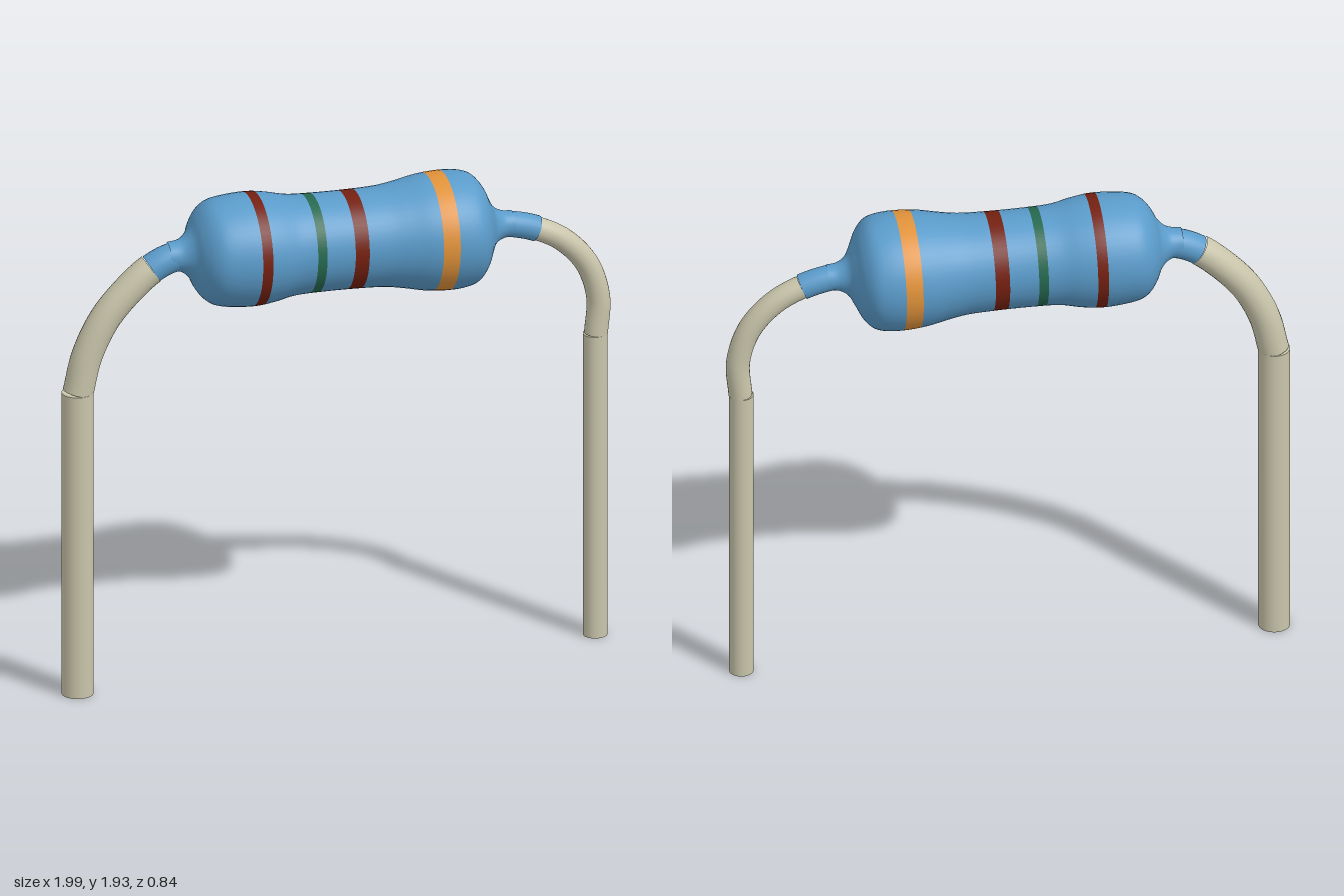
import * as THREE from 'three';

const paint = (name, color) => {
  const m = new THREE.MeshStandardMaterial({ color });
  m.name = name;
  return m;
};
const blue = paint('blue coating', 0x5a9bca);
const metal = paint('lead metal', 0xc9c5ab);
const red = paint('dark red band', 0x742010);
const green = paint('green band', 0x26684f);
const orange = paint('orange band', 0xe0923a);

const SLOPE = 0.387; // z falls by this much per unit of x
const YAW = Math.atan(SLOPE);

function add(parent, name, geometry, material) {
  const mesh = new THREE.Mesh(geometry, material);
  mesh.name = name;
  parent.add(mesh);
  return mesh;
}

// Body outline as [distance along axis, radius]
const outline = new THREE.SplineCurve([
  [-0.66, 0.054], [-0.61, 0.062], [-0.575, 0.092], [-0.55, 0.14], [-0.52, 0.178],
  [-0.48, 0.201], [-0.41, 0.212], [-0.33, 0.215], [-0.26, 0.206], [-0.18, 0.19],
  [-0.08, 0.186], [0.04, 0.186], [0.16, 0.19], [0.24, 0.202], [0.32, 0.218],
  [0.4, 0.225], [0.47, 0.222], [0.52, 0.207], [0.555, 0.17], [0.58, 0.12],
  [0.605, 0.075], [0.64, 0.053], [0.68, 0.049],
].map(([s, r]) => new THREE.Vector2(r, s))).getPoints(160);

function radiusAt(s) {
  const i = Math.max(1, outline.findIndex((p) => p.y >= s));
  const a = outline[i - 1], b = outline[i];
  return a.x + (b.x - a.x) * (s - a.y) / (b.y - a.y);
}

// Ring of the body between two distances along the axis
function bodySection(from, to) {
  const inner = outline.filter((p) => p.y > from + 1e-4 && p.y < to - 1e-4);
  const ends = [from, to].map((s) => new THREE.Vector2(radiusAt(s), s));
  return new THREE.LatheGeometry([ends[0], ...inner, ends[1]], 48);
}

function buildBody() {
  const body = new THREE.Group();
  body.name = 'body';
  const cuts = [
    [-0.35, 'firstBand', red], [-0.31, 'coatingLeft', blue],
    [-0.128, 'secondBand', green], [-0.092, 'coatingMiddle', blue],
    [0.018, 'thirdBand', red], [0.072, 'coatingRight', blue],
    [0.35, 'toleranceBand', orange], [0.414, 'capRight', blue],
  ];
  add(body, 'capLeft', bodySection(-0.66, cuts[0][0]), blue);
  cuts.forEach(([from, name, material], i) => {
    const to = i + 1 < cuts.length ? cuts[i + 1][0] : 0.68;
    add(body, name, bodySection(from, to), material);
  });
  body.position.y = 1.708;
  body.rotation.set(0, YAW, -Math.PI / 2 - 0.018, 'YXZ');
  return body;
}

// One wire: coated neck, bend and straight leg
function buildLead(name, path, radius, neckRadius, legX, coatEnd) {
  const lead = new THREE.Group();
  lead.name = name;
  const at = (x, y) => new THREE.Vector3(x, y, -SLOPE * x);
  const points = new THREE.CatmullRomCurve3(path.map(([x, y]) => at(x, y))).getSpacedPoints(40);
  const split = points.findIndex((p) => Math.abs(p.x) > coatEnd);
  const tube = (list, r) =>
    new THREE.TubeGeometry(new THREE.CatmullRomCurve3(list), list.length * 2, r, 24);
  add(lead, 'coatedNeck', tube(points.slice(0, split + 1), neckRadius), blue);
  add(lead, 'bend', tube(points.slice(split), radius * 0.97), metal);

  const top = points[points.length - 1].y;
  const leg = add(lead, 'leg', new THREE.CylinderGeometry(radius, radius, top, 24), metal);
  leg.position.copy(at(legX, top / 2));
  return lead;
}

export function createModel() {
  const model = new THREE.Group();
  model.name = 'resistor';
  model.add(buildBody());
  model.add(buildLead('rightLead', [
    [-0.53, 1.717], [-0.6, 1.713], [-0.67, 1.68], [-0.75, 1.61],
    [-0.84, 1.5], [-0.905, 1.36], [-0.938, 1.215],
  ], 0.06, 0.056, -0.94, 0.665));
  model.add(buildLead('leftLead', [
    [0.53, 1.702], [0.62, 1.695], [0.72, 1.665], [0.82, 1.605],
    [0.905, 1.5], [0.946, 1.36], [0.938, 1.215],
  ], 0.046, 0.049, 0.935, 0.71));
  return model;
}
